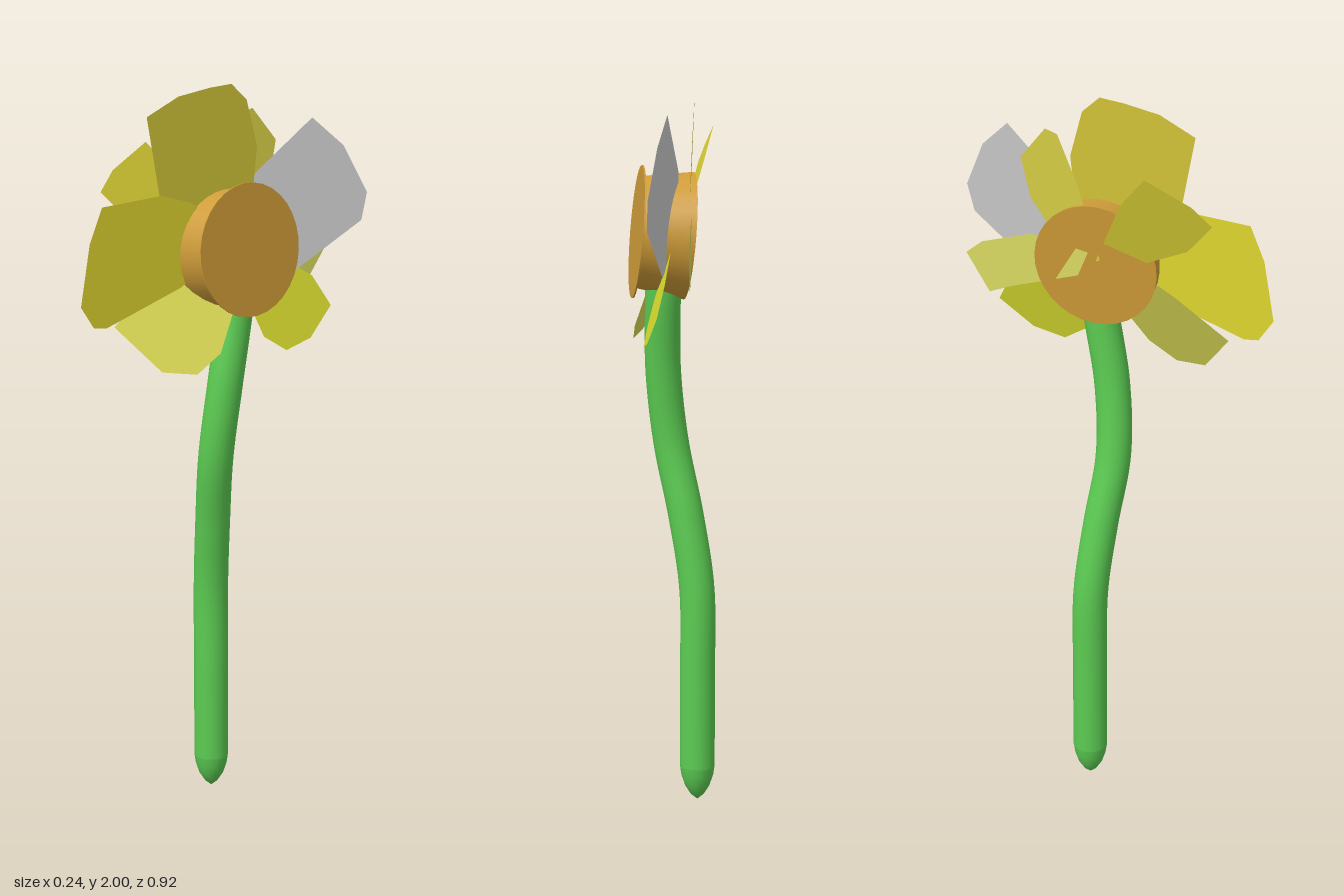
import * as THREE from 'three';

const CENTRE = { y: 1.57, z: -0.03 };

// Thin petal: outline as [z, y] points, laid on the tilted plane x = a + b*dy + c*dz
function petal(name, color, [a, b, c], outline) {
  const shape = new THREE.Shape(outline.map(([z, y]) => new THREE.Vector2(-z, y)));
  const geo = new THREE.ShapeGeometry(shape);
  const p = geo.attributes.position;
  for (let i = 0; i < p.count; i++) {
    const z = -p.getX(i), y = p.getY(i);
    p.setXYZ(i, a + b * (y - CENTRE.y) + c * (z - CENTRE.z), y, z);
  }
  geo.computeVertexNormals();
  const mesh = new THREE.Mesh(geo, new THREE.MeshStandardMaterial({ color, side: THREE.DoubleSide }));
  mesh.name = name;
  return mesh;
}

export function createModel() {
  const flower = new THREE.Group();
  flower.name = 'flower';
  const green = new THREE.MeshStandardMaterial({ color: 0x5ccc52 });
  const orange = new THREE.MeshStandardMaterial({ color: 0xcf9c39 });
  const add = (name, geo, mat) => {
    const mesh = new THREE.Mesh(geo, mat);
    mesh.name = name;
    flower.add(mesh);
    return mesh;
  };

  // Curved stem
  const path = new THREE.CatmullRomCurve3([
    [-0.07, 0.1, -0.02], [-0.07, 0.35, -0.02], [-0.068, 0.6, -0.018], [-0.038, 0.8, -0.003],
    [0.003, 1.0, 0.015], [0.024, 1.2, 0.0], [0.024, 1.4, -0.033], [0.024, 1.47, -0.04],
  ].map((v) => new THREE.Vector3(...v)));
  add('stem', new THREE.TubeGeometry(path, 48, 0.048, 24), green);

  // Rounded pointed foot
  const foot = [[0, 0.005], [0.018, 0.02], [0.034, 0.045], [0.044, 0.075], [0.048, 0.102]];
  add('stemTip', new THREE.LatheGeometry(foot.map(([r, y]) => new THREE.Vector2(r, y)), 24), green)
    .position.set(-0.07, 0, -0.02);

  // Tapered flower head with a wider face disc
  const head = new THREE.Group();
  head.name = 'flowerHead';
  const body = new THREE.Mesh(new THREE.CylinderGeometry(0.148, 0.17, 0.138, 32), orange);
  body.name = 'headBody';
  body.position.y = -0.069;
  const face = new THREE.Mesh(new THREE.CylinderGeometry(0.177, 0.177, 0.004, 32), orange);
  face.name = 'headFace';
  head.add(body, face);
  head.quaternion.setFromUnitVectors(
    new THREE.Vector3(0, 1, 0), new THREE.Vector3(0.985, 0.085, -0.125).normalize());
  head.position.set(0.092, 1.573, -0.032);
  flower.add(head);

  // Petals around the head
  flower.add(
    petal('topPetal', 0xd0c238, [0.01, 0, 0.02],
      [[0.04, 1.6], [0.2, 1.72], [0.24, 1.935], [0.14, 1.98], [0.04, 1.995], [-0.03, 2.0], [-0.08, 1.955],
        [-0.115, 1.83], [-0.1, 1.7], [-0.05, 1.58]]),
    petal('upperBackPetal', 0xd8cf45, [-0.045, -0.045, 0],
      [[0.0, 1.58], [-0.06, 1.78], [-0.115, 1.91], [-0.15, 1.92], [-0.225, 1.83], [-0.2, 1.72], [-0.07, 1.55]]),
    petal('greyPetal', 0xcccccc, [-0.02, -0.08, -0.19],
      [[-0.04, 1.62], [-0.11, 1.74], [-0.3, 1.89], [-0.39, 1.81], [-0.455, 1.68], [-0.435, 1.605],
        [-0.2, 1.465], [-0.08, 1.53]]),
    petal('sideBackPetal', 0xd8da60, [-0.055, 0, -0.01],
      [[-0.03, 1.6], [-0.2, 1.62], [-0.35, 1.57], [-0.4, 1.53], [-0.33, 1.43], [-0.26, 1.46], [-0.06, 1.53]]),
    petal('lowerBackPetal', 0xdade2f, [0, -0.28, 0.07],
      [[-0.03, 1.54], [-0.08, 1.38], [-0.1, 1.325], [-0.17, 1.28], [-0.26, 1.3], [-0.35, 1.375],
        [-0.3, 1.46], [-0.12, 1.57]]),
    petal('lowerFrontPetal', 0xdfde57, [0, -0.46, -0.17],
      [[0.03, 1.59], [0.2, 1.5], [0.345, 1.4], [0.245, 1.28], [0.15, 1.265], [0.07, 1.31], [0.01, 1.4], [-0.02, 1.54]]),
    petal('sidePetal', 0xdfd52f, [0.01, 0, 0.055],
      [[0.0, 1.62], [0.1, 1.7], [0.2, 1.73], [0.39, 1.72], [0.43, 1.63], [0.46, 1.47], [0.42, 1.41],
        [0.38, 1.405], [0.14, 1.48], [0.02, 1.55]]),
    petal('upperFrontPetal', 0xdcd235, [-0.03, -0.32, 0.05],
      [[-0.01, 1.59], [0.08, 1.76], [0.16, 1.85], [0.28, 1.79], [0.33, 1.74], [0.25, 1.65], [0.04, 1.55]]),
  );
  return flower;
}
